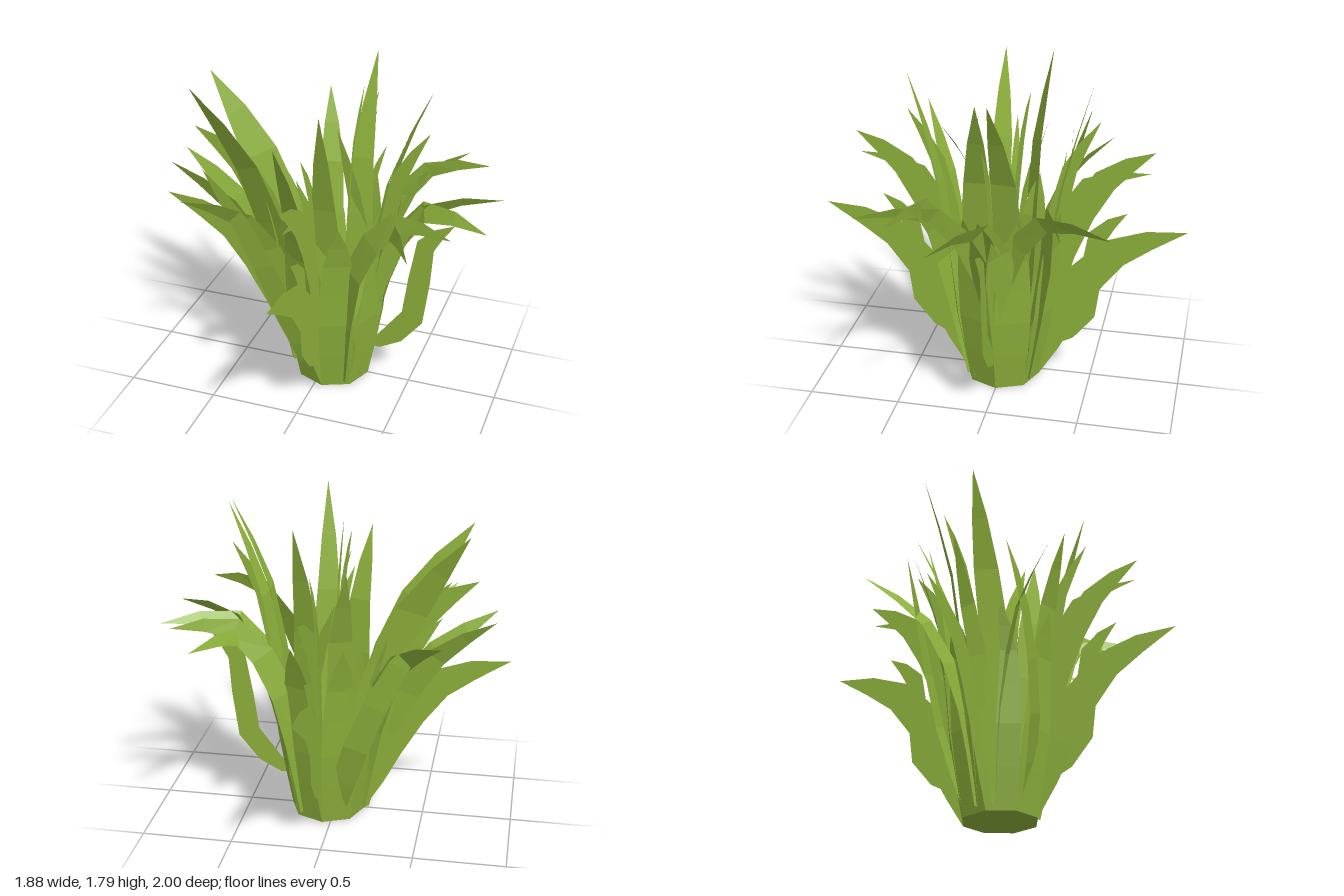
import * as THREE from 'three';

const CX = 0.045; // centre of the eight-sided root
const WIDTHS = [0.8, 0.95, 1, 0.95, 0.8, 0.5]; // share of full width from foot to tip
const leafGreen = new THREE.MeshStandardMaterial({ color: 0x8fb33c, side: THREE.DoubleSide });
leafGreen.name = 'leafGreen';

// Point at a radius and angle around the root
function around(r, y, deg) {
  const a = THREE.MathUtils.degToRad(deg);
  return new THREE.Vector3(CX + r * Math.cos(a), y, r * Math.sin(a));
}

// Faceted, pointed blade along a curve; tilt turns its width from level (0) to upright (90)
function blade(name, points, width, tiltDeg) {
  const rows = WIDTHS.length;
  const curve = new THREE.CatmullRomCurve3(points);
  const tip = points[points.length - 1];
  const heading = tip.clone().sub(points[0]).setY(0).normalize();
  const side = new THREE.Vector3(0, 1, 0).cross(heading);
  const tilt = THREE.MathUtils.degToRad(tiltDeg);

  // Left and right edge points of every row
  const pairs = WIDTHS.map((share, i) => {
    const p = curve.getPoint(i / rows);
    const normal = curve.getTangent(i / rows).cross(side).normalize();
    const half = side.clone().multiplyScalar(Math.cos(tilt))
      .addScaledVector(normal, Math.sin(tilt)).multiplyScalar(width * share / 2);
    if (i === 0) half.setY(0);
    return [p.clone().sub(half), p.clone().add(half)];
  });

  const corners = [];
  for (let i = 0; i < rows - 1; i++) {
    const [a, b] = pairs[i], [c, d] = pairs[i + 1];
    corners.push(a, b, d, a, d, c);
  }
  corners.push(...pairs[rows - 1], tip);
  const geo = new THREE.BufferGeometry().setFromPoints(corners);
  geo.computeVertexNormals();
  const mesh = new THREE.Mesh(geo, leafGreen);
  mesh.name = name;
  return mesh;
}

// Leaves repeated around the root: their curve is given as [radius, height]
const RADIAL = [
  { name: 'sheathLeaf', angles: Array.from({ length: 8 }, (_, k) => 22.5 + 45 * k), width: 0.2, tilt: 0,
    curve: [[0.194, 0], [0.27, 0.45], [0.31, 0.85], [0.37, 1.1]] },
  { name: 'lowLeaf', angles: [90, 180, 270], width: 0.22, tilt: 90,
    curve: [[0.13, 0], [0.32, 0.42], [0.61, 0.81], [1, 0.97]] },
  { name: 'elbowLeaf', angles: [0, 90, 270], width: 0.13, tilt: 90,
    curve: [[0.24, 0.19], [0.46, 0.43], [0.52, 0.9], [0.675, 1.05]] },
  { name: 'tallLeaf', angles: [0, 90, 270], width: 0.1, tilt: 90,
    curve: [[0.16, 0.03], [0.26, 0.75], [0.36, 1.28], [0.52, 1.56]] },
  { name: 'wideLeaf', angles: [90, 180, 270], width: 0.17, tilt: 90,
    curve: [[0.14, 0.03], [0.32, 0.8], [0.55, 1.23], [0.81, 1.41]] },
  { name: 'droopingLeaf', angles: [90, 270], width: 0.11, tilt: 90,
    curve: [[0.15, 0.03], [0.28, 0.8], [0.46, 1.2], [0.79, 1.29]] },
];

// Leaves in front and back pairs: name, foot angle, width, tilt, then two curve points and the tip
const PAIRED = [
  ['spearLeaf', 65, 0.16, 0, [0.12, 0.55, 0.23], [0.1, 1.2, 0.33], [0.13, 1.79, 0.49]],
  ['shortSpearLeaf', 115, 0.16, 0, [-0.07, 0.5, 0.24], [-0.08, 1.15, 0.33], [-0.13, 1.56, 0.45]],
  ['broadLeaf', 155, 0.24, 60, [-0.2, 0.6, 0.1], [-0.42, 1.25, 0.1], [-0.72, 1.69, 0.14]],
  ['leftLeaf', 160, 0.16, 70, [-0.27, 0.52, 0.05], [-0.55, 0.98, 0.05], [-0.87, 1.22, 0.1]],
  ['leftSideLeaf', 110, 0.14, 75, [-0.15, 0.5, 0.27], [-0.38, 1.02, 0.3], [-0.6, 1.3, 0.28]],
  ['leftCornerLeaf', 165, 0.15, 60, [-0.2, 0.55, 0.1], [-0.38, 1.02, 0.26], [-0.62, 1.22, 0.52]],
  ['rightCornerLeaf', 5, 0.13, 70, [0.3, 0.7, 0.04], [0.44, 1.13, 0.28], [0.64, 1.17, 0.66]],
  ['rightSideLeaf', 60, 0.14, 80, [0.24, 0.8, 0.27], [0.48, 1.19, 0.33], [0.8, 1.21, 0.44]],
  ['rightArchingLeaf', -35, 0.15, 60, [0.32, 0.65, -0.09], [0.55, 1.11, 0.01], [0.93, 1.14, 0.2]],
  ['rightSpearLeaf', 22, 0.17, 0, [0.26, 0.55, 0.09], [0.37, 1.3, 0.07], [0.57, 1.79, 0.03]],
  ['crossingLeaf', 30, 0.11, 60, [0.16, 0.5, 0.24], [0.06, 1, 0.29], [-0.05, 1.35, 0.33]],
];

export function createModel() {
  const group = new THREE.Group();
  group.name = 'leafyPlant';

  // Root plate
  const root = new THREE.Mesh(new THREE.CircleGeometry(0.21, 8).rotateX(-Math.PI / 2).translate(CX, 0, 0), leafGreen);
  root.name = 'rootPlate';
  group.add(root);

  // Sheath and upright leaves
  for (const { name, angles, width, tilt, curve } of RADIAL) {
    for (const deg of angles) {
      group.add(blade(name, curve.map(([r, y]) => around(r, y, deg)), width, tilt));
    }
  }

  // Mirrored leaves
  for (const [name, deg, width, tilt, ...curve] of PAIRED) {
    for (const m of [1, -1]) {
      const points = curve.map(([x, y, z]) => new THREE.Vector3(x, y, z * m));
      group.add(blade(name, [around(0.17, 0.03, deg * m), ...points], width, tilt * m));
    }
  }
  return group;
}
